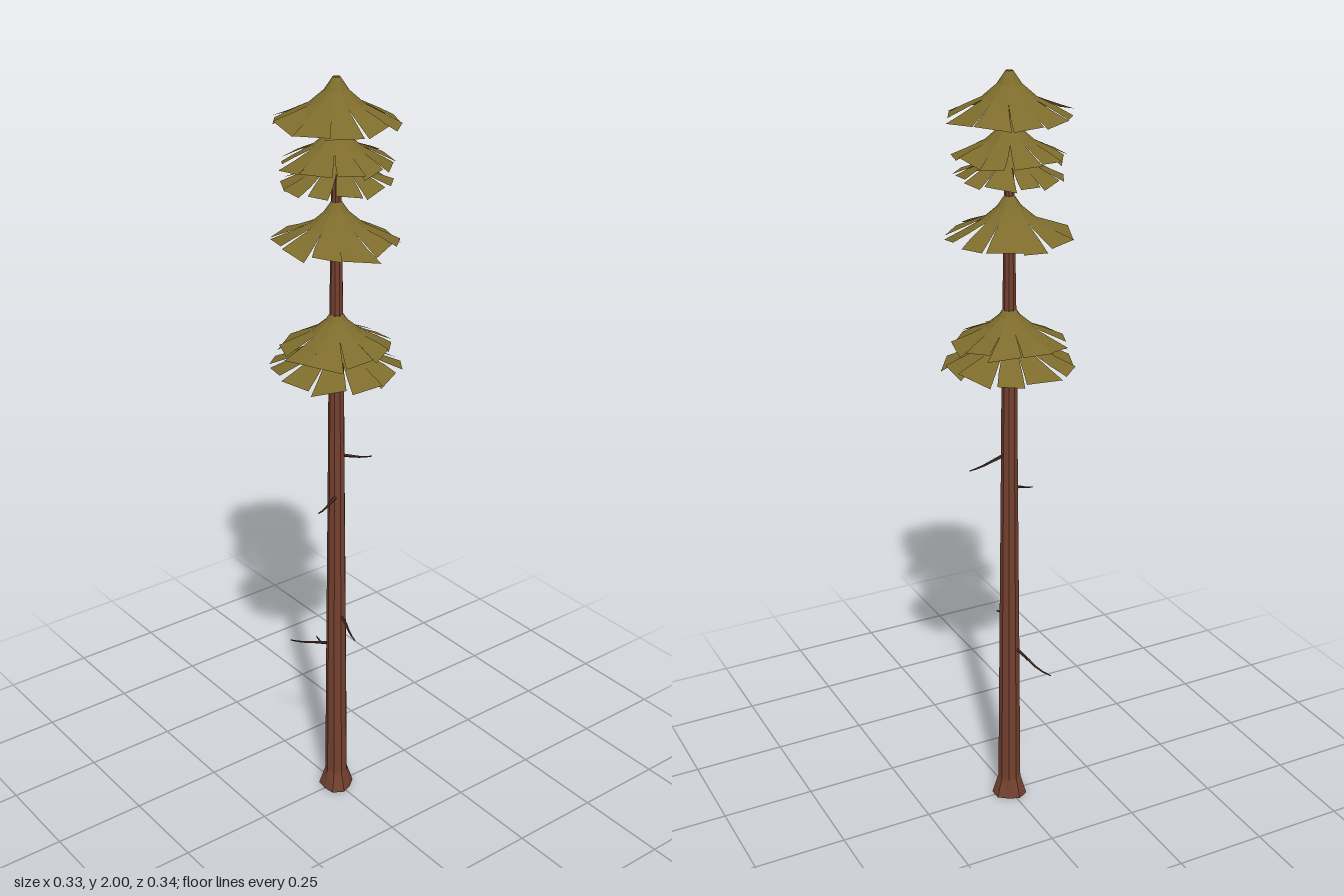
import * as THREE from 'three';

// Small seeded generator for the ragged needle skirts
function seeded(seed) {
  let s = seed;
  return () => (s = (s * 16807) % 2147483647) / 2147483647;
}

const bark = new THREE.MeshStandardMaterial({ color: 0x73402f, flatShading: true });
const twigBark = new THREE.MeshStandardMaterial({ color: 0x4a3028, flatShading: true });
const needles = new THREE.MeshStandardMaterial({ color: 0x7d6c2c, flatShading: true, side: THREE.DoubleSide });

// One skirt: a closed upper cone, then separate flaps with torn gaps
function skirtGeometry(top, drop, radius, seed) {
  const rand = seeded(seed);
  const sides = 11;
  const step = (Math.PI * 2) / sides;
  const turn = rand() * step;
  const out = [];
  const point = (a, r, y) => [Math.sin(a) * r, y, Math.cos(a) * r];
  const quad = (a, b, c, d) => out.push(...a, ...b, ...c, ...a, ...c, ...d);
  const k = radius / 0.155;
  const inner = [[0.009, 0], [0.03 * k, 0.29], [0.066 * k, 0.58]];

  for (let i = 0; i < sides; i++) {
    const a0 = turn + i * step, a1 = a0 + step;
    for (let j = 0; j < 2; j++) {
      const [r0, f0] = inner[j], [r1, f1] = inner[j + 1];
      const y0 = top - f0 * drop, y1 = top - f1 * drop;
      quad(point(a0, r0, y0), point(a0, r1, y1), point(a1, r1, y1), point(a1, r0, y0));
    }
    // Flap: three rows whose edges pull apart toward the rim
    const gapL = rand() < 0.35 ? 0.09 : -0.02, gapR = rand() < 0.35 ? 0.09 : -0.02;
    const skew = (rand() - 0.5) * 0.12, tilt = (rand() - 0.5) * 0.14;
    const reach = radius * (0.93 + rand() * 0.09), sag = (rand() - 0.5) * 0.12;
    const rows = [[0.066 * k, 0.58, 0], [0.114 * k, 0.8, 0.6], [reach, 0.97, 1]].map(([r, f, t]) => [
      point(a0 + (gapL + skew) * t, r * (1 + tilt * t * 0.5), top - drop * (f + (sag + tilt) * t)),
      point(a1 + (skew - gapR) * t, r * (1 - tilt * t * 0.5), top - drop * (f + (sag - tilt) * t)),
    ]);
    for (let j = 0; j < 2; j++) quad(rows[j][0], rows[j + 1][0], rows[j + 1][1], rows[j][1]);
  }
  const geo = new THREE.BufferGeometry();
  geo.setAttribute('position', new THREE.Float32BufferAttribute(out, 3));
  geo.computeVertexNormals();
  return geo;
}

// Thin dead twig tapering to its tip along a curve
function twigGeometry(points, radius) {
  const curve = new THREE.CatmullRomCurve3(points.map((p) => new THREE.Vector3(...p)));
  const rings = 5, sides = 5;
  const geo = new THREE.TubeGeometry(curve, rings, radius, sides);
  const pos = geo.attributes.position;
  const p = new THREE.Vector3();
  for (let i = 0; i < pos.count; i++) {
    const t = Math.floor(i / (sides + 1)) / rings;
    const c = curve.getPointAt(t);
    p.fromBufferAttribute(pos, i).sub(c).multiplyScalar(1 - 0.7 * t).add(c);
    pos.setXYZ(i, p.x, p.y, p.z);
  }
  return geo;
}

export function createModel() {
  const tree = new THREE.Group();
  tree.name = 'tree';
  const add = (name, geo, mat) => {
    const mesh = new THREE.Mesh(geo, mat);
    mesh.name = name;
    tree.add(mesh);
  };

  // Tall tapering trunk with a flared, slightly uneven foot
  const profile = [[0, 0], [0.046, 0], [0.031, 0.055], [0.027, 0.5], [0.0225, 0.95],
    [0.0195, 1.3], [0.0145, 1.6], [0.011, 1.8], [0.009, 1.995], [0, 1.998]];
  const trunk = new THREE.LatheGeometry(profile.map(([r, y]) => new THREE.Vector2(r, y)), 9);
  const pos = trunk.attributes.position;
  for (let i = 0; i < pos.count; i++) {
    if (pos.getY(i) > 0.01) continue;
    const flare = 1 + 0.1 * Math.sin(3 * Math.atan2(pos.getZ(i), pos.getX(i)));
    pos.setX(i, pos.getX(i) * flare);
    pos.setZ(i, pos.getZ(i) * flare);
  }
  add('trunk', trunk, bark);

  // Needle skirts: top height, drop, radius
  const skirts = [
    [2.0, 0.107, 0.156], [1.895, 0.1, 0.142], [1.84, 0.092, 0.135],
    [1.71, 0.108, 0.158], [1.432, 0.1, 0.148], [1.385, 0.11, 0.171],
  ];
  skirts.forEach(([top, drop, radius], i) =>
    add('needleSkirt' + (i + 1), skirtGeometry(top, drop, radius, 7919 * (i + 3) * 131), needles));

  // Bare twigs on the lower trunk
  const twigs = [
    [[-0.015, 0.465, 0.012], [-0.06, 0.45, 0.025], [-0.1, 0.435, 0.038], [-0.135, 0.43, 0.055]],
    [[-0.045, 0.455, 0.02], [-0.06, 0.46, 0.018], [-0.075, 0.457, 0.012]],
    [[0.015, 0.562, 0.0], [0.045, 0.555, 0.004], [0.07, 0.535, 0.008], [0.095, 0.526, 0.01]],
    [[0.012, 0.922, 0.012], [0.026, 0.92, 0.04], [0.032, 0.91, 0.065], [0.034, 0.907, 0.085]],
    [[0.0, 1.032, -0.012], [0.003, 1.02, -0.045], [0.006, 1.008, -0.08], [0.008, 1.002, -0.11]],
  ];
  twigs.forEach((points, i) => add('twig' + (i + 1), twigGeometry(points, i === 1 ? 0.003 : 0.005), twigBark));

  return tree;
}
